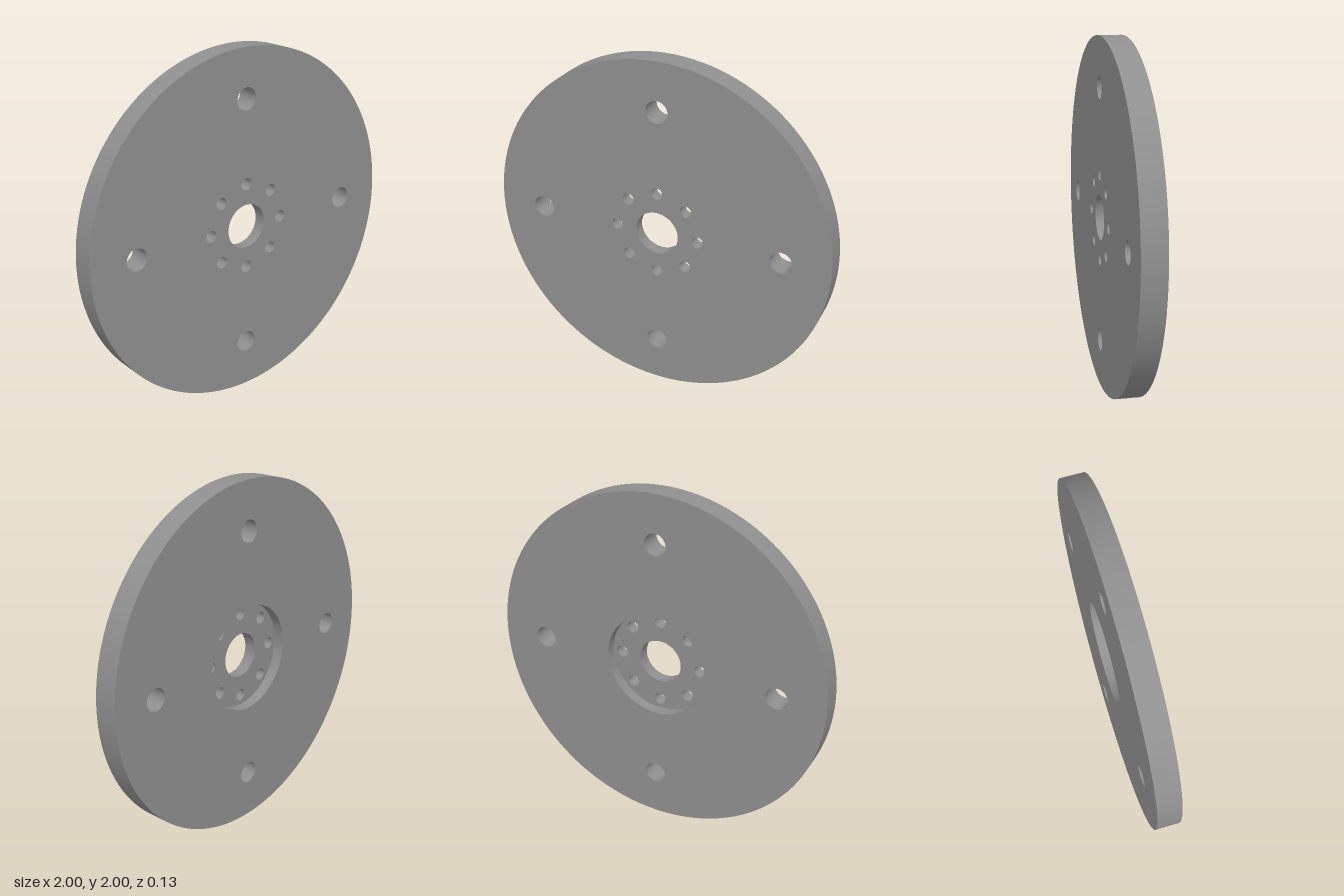
import * as THREE from 'three';

const SEGMENTS = 128;
const HALF = 0.067;      // half the plate thickness
const FLOOR = -0.005;    // z of the recess floor, open to the back
const RECESS_R = 0.303;

// Evenly spaced holes on a circle
const ring = (count, distance, r) => Array.from({ length: count }, (_, i) => {
  const a = (i / count) * Math.PI * 2;
  return { x: distance * Math.cos(a), y: distance * Math.sin(a), r };
});

export function createModel() {
  const group = new THREE.Group();
  const material = new THREE.MeshStandardMaterial({ color: 0x8f8f8f });

  const add = (name, geometry, x = 0, y = 0) => {
    const mesh = new THREE.Mesh(geometry, material);
    mesh.name = name;
    mesh.position.set(x, y + 1, 0);
    group.add(mesh);
  };

  // Flat round face with holes, looking to the front or the back
  const face = (name, radius, holes, z, back) => {
    const shape = new THREE.Shape().absarc(0, 0, radius, 0, Math.PI * 2);
    for (const h of holes) {
      shape.holes.push(new THREE.Path().absarc(h.x, h.y, h.r, 0, Math.PI * 2, true));
    }
    const geometry = new THREE.ShapeGeometry(shape, SEGMENTS / 2);
    if (back) geometry.rotateY(Math.PI);
    add(name, geometry.translate(0, 0, z));
  };

  // Round wall along z; inward walls line a hole
  const wall = (name, { x, y, r }, z0, z1, inward = true) => {
    const points = [new THREE.Vector2(r, z0), new THREE.Vector2(r, z1)];
    if (inward) points.reverse();
    add(name, new THREE.LatheGeometry(points, SEGMENTS).rotateX(Math.PI / 2), x, y);
  };

  const bore = { x: 0, y: 0, r: 0.127 };
  const recess = { x: 0, y: 0, r: RECESS_R };
  const smallHoles = ring(8, 0.245, 0.034);
  const largeHoles = ring(4, 0.723, 0.063);

  // Plate
  face('frontFace', 1, [bore, ...smallHoles, ...largeHoles], HALF, false);
  face('backFace', 1, [recess, ...largeHoles], -HALF, true);
  wall('outerRim', { x: 0, y: 0, r: 1 }, -HALF, HALF, false);

  // Recess in the back
  face('recessFloor', RECESS_R, [bore, ...smallHoles], FLOOR, true);
  wall('recessWall', recess, -HALF, FLOOR);

  // Holes
  wall('centreBore', bore, FLOOR, HALF);
  smallHoles.forEach((h) => wall('smallBoltHole', h, FLOOR, HALF));
  largeHoles.forEach((h) => wall('largeBoltHole', h, -HALF, HALF));

  return group;
}
